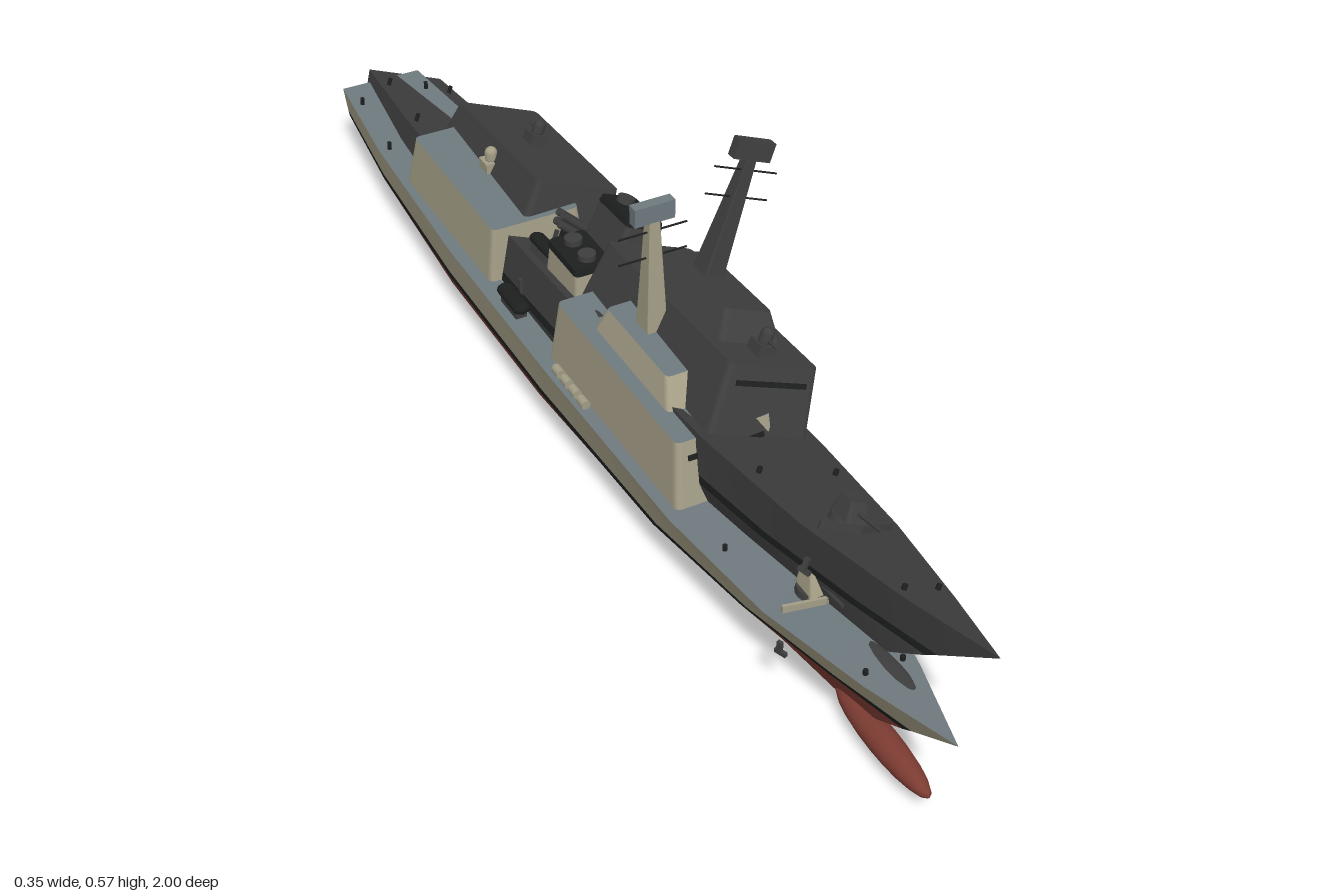
import * as THREE from 'three';

const mat = (name, color) => {
  const m = new THREE.MeshStandardMaterial({ color });
  m.name = name;
  return m;
};

// Hull rows, deck edge to keel: stem z, half-breadths and heights from stern to bow
const STATIONS = [0, 0.12, 0.3, 0.5, 0.7, 0.82, 0.92, 1];
const ROWS = [
  { stem: 1.0, b: [0.077, 0.1, 0.115, 0.116, 0.11, 0.088, 0.045, 0], y: [0.148, 0.147, 0.147, 0.147, 0.149, 0.155, 0.165, 0.177] },
  { stem: 0.895, b: [0.07, 0.091, 0.105, 0.106, 0.094, 0.066, 0.03, 0], y: [0.098, 0.088, 0.081, 0.08, 0.08, 0.085, 0.095, 0.109] },
  { stem: 0.875, b: [0.068, 0.089, 0.103, 0.104, 0.091, 0.062, 0.027, 0], y: [0.086, 0.075, 0.067, 0.066, 0.066, 0.071, 0.081, 0.095] },
  { stem: 0.81, b: [0.055, 0.077, 0.091, 0.091, 0.073, 0.043, 0.016, 0], y: [0.07, 0.05, 0.037, 0.036, 0.036, 0.038, 0.043, 0.055] },
  { stem: 0.72, b: [0.02, 0.03, 0.036, 0.036, 0.029, 0.019, 0.008, 0], y: [0.06, 0.025, 0.002, 0, 0, 0.002, 0.008, 0.022] },
];
const STERN = -0.99;
const rowPoints = (r, side) => STATIONS.map((u, i) =>
  [side * r.b[i], r.y[i], STERN + (r.stem - STERN) * u]);

// Surface made of strips, each strip joining two lists of points
function strips(list) {
  const pos = [], idx = [];
  for (const [A, B] of list) {
    const o = pos.length / 3, n = A.length;
    A.concat(B).forEach(p => pos.push(...p));
    for (let i = 0; i < n - 1; i++) {
      const a = o + i, b = o + n + i;
      idx.push(a, a + 1, b, b, a + 1, b + 1);
    }
  }
  const g = new THREE.BufferGeometry();
  g.setAttribute('position', new THREE.Float32BufferAttribute(pos, 3));
  g.setIndex(idx);
  g.computeVertexNormals();
  return g;
}

// Both sides and the transom between two hull rows
function band(i) {
  const [tr, tl, br, bl] = [[i, 1], [i, -1], [i + 1, 1], [i + 1, -1]].map(([k, s]) => rowPoints(ROWS[k], s));
  return [[tr, br], [bl, tl], [[tl[0], tr[0]], [bl[0], br[0]]]];
}

// Tapered block with rounded upright corners; group 0 is the roof, 1 the walls
function block(w0, w1, y0, y1, [b0, f0], [b1, f1], r = 0.012) {
  const s = new THREE.Shape(), h = 0.5, rx = r / w0, rz = r / (f0 - b0);
  s.moveTo(-h + rx, -h);
  s.lineTo(h - rx, -h);
  s.quadraticCurveTo(h, -h, h, -h + rz);
  s.lineTo(h, h - rz);
  s.quadraticCurveTo(h, h, h - rx, h);
  s.lineTo(-h + rx, h);
  s.quadraticCurveTo(-h, h, -h, h - rz);
  s.lineTo(-h, -h + rz);
  s.quadraticCurveTo(-h, -h, -h + rx, -h);
  const g = new THREE.ExtrudeGeometry(s, { depth: 1, bevelEnabled: false, curveSegments: 4 });
  g.rotateX(-Math.PI / 2);
  const p = g.attributes.position, mix = THREE.MathUtils.lerp;
  for (let i = 0; i < p.count; i++) {
    const t = p.getY(i), back = mix(b0, b1, t), front = mix(f0, f1, t);
    p.setXYZ(i, p.getX(i) * mix(w0, w1, t), mix(y0, y1, t), mix(back, front, p.getZ(i) + 0.5));
  }
  g.computeVertexNormals();
  return g;
}

function ship(name, c) {
  const ship = new THREE.Group();
  ship.name = name;
  const add = (part, geo, m, x = 0, y = 0, z = 0, rx = 0, ry = 0, rz = 0) => {
    const mesh = new THREE.Mesh(geo, m);
    mesh.name = part;
    mesh.position.set(x, y, z);
    mesh.rotation.set(rx, ry, rz);
    ship.add(mesh);
    return mesh;
  };
  const box = (w, h, d) => new THREE.BoxGeometry(w, h, d);
  const cyl = (r0, r1, h, n = 16) => new THREE.CylinderGeometry(r0, r1, h, n);

  // Hull
  const last = ROWS.length - 1;
  add('deck', strips([[rowPoints(ROWS[0], -1), rowPoints(ROWS[0], 1)]]), c.deck);
  add('topsides', strips(band(0)), c.body);
  add('waterlineStripe', strips(band(1)), c.black);
  add('underwaterHull', strips([...band(2), ...band(3),
    [rowPoints(ROWS[last], 1), rowPoints(ROWS[last], -1)]]), c.bottom);
  const bulb = add('bowBulb', new THREE.SphereGeometry(1, 20, 12), c.bottom, 0, 0.032, 0.83);
  bulb.scale.set(0.023, 0.021, 0.12);

  // Superstructure
  add('forwardBlock', block(0.184, 0.162, 0.14, 0.257, [-0.05, 0.392], [-0.035, 0.368]), [c.deck, c.body]);
  add('bridgeTier', block(0.116, 0.084, 0.255, 0.297, [0.05, 0.3], [0.065, 0.265]), [c.deck, c.body]);
  add('bridgeWindows', box(0.128, 0.008, 0.006), c.black, 0, 0.229, 0.374, -0.21);
  add('hangar', block(0.184, 0.16, 0.14, 0.243, [-0.642, -0.275], [-0.62, -0.285]), [c.deck, c.body]);
  add('hangarDoor', box(0.1, 0.07, 0.006), c.dark, 0, 0.187, -0.633, 0.21);

  // Funnel with cap and exhausts
  add('funnel', block(0.085, 0.066, 0.14, 0.272, [-0.18, -0.05], [-0.167, -0.062], 0.01), [c.black, c.body]);
  add('funnelCap', block(0.07, 0.066, 0.272, 0.283, [-0.169, -0.06], [-0.167, -0.062], 0.01), c.black);
  for (const z of [-0.14, -0.09]) add('exhaust', cyl(0.015, 0.015, 0.012), c.dark, 0, 0.287, z);

  // Mast with yards and radar
  add('mast', block(0.036, 0.018, 0.29, 0.492, [0.115, 0.157], [0.128, 0.146], 0.003), c.body);
  for (const y of [0.427, 0.473])
    add('yard', cyl(0.0016, 0.0016, 0.116, 8), c.black, 0, y, 0.139, 0, 0, Math.PI / 2);
  add('radar', box(0.068, 0.032, 0.018), c.deck, 0, 0.507, 0.137);

  // Main gun and breakwater
  add('gunBase', cyl(0.027, 0.029, 0.01, 20), c.dark, 0, 0.16, 0.636);
  add('gunTurret', block(0.042, 0.03, 0.162, 0.194, [0.612, 0.662], [0.617, 0.648], 0.008), c.body);
  add('gunBarrel', cyl(0.003, 0.004, 0.06, 10), c.dark, 0, 0.182, 0.68, Math.PI / 2 - 0.1);
  for (const s of [-1, 1])
    add('breakwater', box(0.066, 0.016, 0.005), c.body, s * 0.033, 0.16, 0.662, 0, s * 0.2);

  // Close-range mounts on the bridge and hangar roofs
  for (const [y, z] of [[0.257, 0.325], [0.243, -0.465]]) {
    add('mountBase', box(0.032, 0.018, 0.032), c.body, 0, y + 0.009, z);
    add('mountDome', new THREE.CapsuleGeometry(0.011, 0.01, 5, 14), c.body, 0, y + 0.027, z);
    add('mountBarrel', cyl(0.0025, 0.0025, 0.032, 8), c.dark, 0, y + 0.024, z + Math.sign(z) * 0.016, Math.PI / 2);
  }

  // Missile tubes, crossed to each side
  for (const s of [-1, 1]) {
    const z = -0.222 + s * 0.02;
    for (const dz of [-0.008, 0.008]) for (const dy of [0, 0.016])
      add('missileTube', cyl(0.007, 0.007, 0.075, 10), c.dark, s * 0.012, 0.178 + dy, z + dz, 0, 0, s * -1.2);
    add('tubeStand', box(0.03, 0.035, 0.028), c.black, s * 0.012, 0.16, z);
  }

  for (const s of [-1, 1]) {
    // Boats on cradles
    const boat = add('boat', new THREE.CapsuleGeometry(0.013, 0.06, 5, 12), c.black, s * 0.088, 0.168, -0.19, Math.PI / 2);
    boat.scale.set(1.2, 1, 0.8);
    add('boatCradle', box(0.02, 0.02, 0.06), c.dark, s * 0.088, 0.155, -0.19);
    add('boatCrane', box(0.006, 0.05, 0.006), c.dark, s * 0.07, 0.17, -0.2);
    // Life rafts along the deck edge
    for (let i = 0; i < 4; i++)
      add('lifeRaft', cyl(0.008, 0.008, 0.02, 12), c.body, s * 0.102, 0.157, 0.01 + i * 0.03, Math.PI / 2);
    // Anchors, bollards and rudders
    add('anchorShank', box(0.006, 0.022, 0.008), c.dark, s * 0.075, 0.105, 0.67, 0, -s * 0.35);
    add('anchorFluke', box(0.006, 0.007, 0.02), c.dark, s * 0.073, 0.095, 0.67, 0, -s * 0.35);
    for (const [x, z] of [[0.03, 0.82], [0.07, 0.5], [0.08, -0.75], [0.065, -0.92]])
      add('bollard', cyl(0.004, 0.004, 0.014, 8), c.black, s * x, z > 0.6 ? 0.165 : 0.154, z);
    add('rudder', box(0.007, 0.052, 0.07), c.bottom, s * 0.035, 0.032, -0.87);
    add('propellerShaft', cyl(0.003, 0.003, 0.2, 8), c.bottom, s * 0.03, 0.024, -0.72, Math.PI / 2);
  }
  return ship;
}

export function createModel() {
  const khaki = mat('khaki paint', 0xa39d85);
  const deckGrey = mat('deck grey', 0x6f7a7f);
  const red = mat('red bottom paint', 0x7d3c33);
  const black = mat('black', 0x1d201f);
  const charcoal = mat('charcoal', 0x3e3e3e);

  const model = new THREE.Group();
  model.name = 'pairedShips';
  const upright = ship('uprightShip', { body: khaki, deck: deckGrey, bottom: red, black, dark: charcoal });
  upright.position.x = -0.058;

  // Second ship, heeled to its left with the bow raised
  const heeled = ship('heeledShip', { body: charcoal, deck: charcoal, bottom: charcoal, black, dark: charcoal });
  heeled.position.set(-0.058, 0.064, -0.005);
  heeled.rotation.set(-0.063, 0, -0.384);

  model.add(upright, heeled);
  return model;
}
